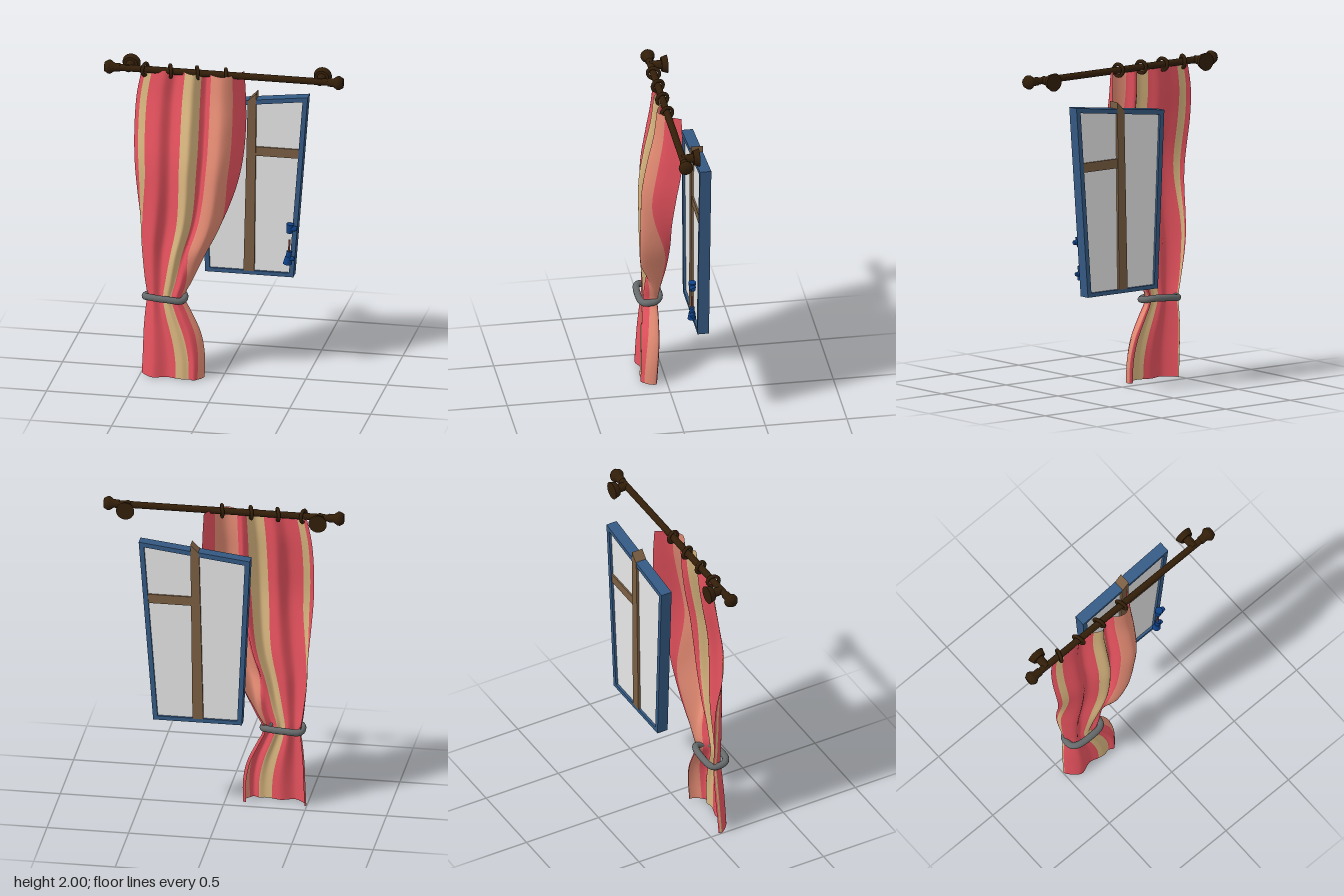
import * as THREE from 'three';

const mat = (name, color, side = THREE.FrontSide) => {
  const m = new THREE.MeshStandardMaterial({ color, side });
  m.name = name;
  return m;
};

export function createModel() {
  const root = new THREE.Group();
  root.name = 'curtainAndWindow';
  const wood = mat('darkWood', 0x321e09);
  const red = mat('redCloth', 0xe8535f, THREE.DoubleSide);
  const tan = mat('tanCloth', 0xdab780, THREE.DoubleSide);
  const salmon = mat('salmonCloth', 0xe58c74, THREE.DoubleSide);
  const grey = mat('greyTie', 0x666a6a);
  const blue = mat('frameBlue', 0x355a84);
  const brown = mat('mullionBrown', 0x7a5e43);
  const glass = mat('paleGlass', 0xe6e6e6);
  const latchBlue = mat('latchBlue', 0x0f4288);
  const pinRed = mat('pinRed', 0x8f4a42);

  const add = (name, geo, material, parent = root) => {
    const mesh = new THREE.Mesh(geo, material);
    mesh.name = name;
    parent.add(mesh);
    return mesh;
  };

  // Rod with a turned finial on each end
  const rod = new THREE.Group();
  rod.name = 'curtainRod';
  rod.position.set(0, 1.945, 0.022);
  root.add(rod);
  add('rod', new THREE.CylinderGeometry(0.021, 0.021, 1.32, 20).rotateZ(Math.PI / 2), wood, rod);
  const finial = [[0.02, 0.64], [0.026, 0.642], [0.026, 0.675], [0.043, 0.7], [0.043, 0.712], [0.03, 0.735], [0, 0.735]]
    .map(p => new THREE.Vector2(...p));
  for (const s of [-1, 1]) {
    const f = add('finial', new THREE.LatheGeometry(finial, 20), wood, rod);
    f.rotation.z = -s * Math.PI / 2;

    // Wall bracket: tapered disc and stem
    const bracket = new THREE.Group();
    bracket.name = 'wallBracket';
    bracket.position.set(s * 0.59, 0, 0);
    rod.add(bracket);
    const disc = add('bracketDisc', new THREE.CylinderGeometry(0.044, 0.056, 0.037, 24).rotateX(Math.PI / 2), wood, bracket);
    disc.position.z = -0.082;
    const stem = add('bracketStem', new THREE.CylinderGeometry(0.025, 0.028, 0.075, 20).rotateX(Math.PI / 2), wood, bracket);
    stem.position.z = -0.03;
  }

  // Hanging rings, slightly twisted on the rod
  for (const [x, twist] of [[-0.487, -0.3], [-0.33, 0.3], [-0.165, 0.3], [0.012, 0.25]]) {
    const ring = add('curtainRing', new THREE.TorusGeometry(0.036, 0.011, 10, 24), wood, rod);
    ring.position.x = x;
    ring.rotation.y = Math.PI / 2 + twist;
  }

  // Curtain outline by height: y, left, right, back, front
  const rows = [
    [0, -0.495, -0.11, 0.06, 0.155], [0.15, -0.49, -0.11, 0.05, 0.152], [0.28, -0.487, -0.135, 0.04, 0.148],
    [0.4, -0.478, -0.19, 0.036, 0.138], [0.5, -0.468, -0.234, 0.036, 0.126], [0.6, -0.483, -0.19, 0.03, 0.132],
    [0.8, -0.505, -0.1, 0.008, 0.157], [1.0, -0.515, 0, 0, 0.172], [1.2, -0.53, 0.07, 0, 0.175],
    [1.4, -0.545, 0.11, -0.02, 0.172], [1.6, -0.55, 0.122, -0.05, 0.14], [1.78, -0.54, 0.12, -0.055, 0.1],
    [1.95, -0.508, 0.112, -0.05, 0.08],
  ];
  // Fold lines at four heights, as fractions of the width (fx) and of the depth (fz)
  const profiles = [
    { y: 0, fx: [0.02, 0, 0, 0.2, 0.42, 0.57, 0.68, 0.78, 0.86, 0.92, 0.98, 1, 0.95],
      fz: [0, 0.08, 0.2, 0.95, 0.7, 0.85, 0.93, 0.85, 1, 0.8, 0.5, 0.1, 0] },
    { y: 0.5, fx: [0.02, 0, 0, 0.2, 0.36, 0.46, 0.58, 0.68, 0.82, 0.93, 0.99, 0.98, 0.92],
      fz: [0, 0.08, 0.2, 0.8, 0.6, 0.75, 0.88, 0.75, 0.95, 0.55, 0.2, 0.05, 0] },
    { y: 0.85, fx: [0, 0, 0.02, 0.2, 0.34, 0.48, 0.57, 0.65, 0.69, 0.74, 0.9, 1, 0.98],
      fz: [0.1, 0.18, 0.3, 0.7, 0.45, 0.7, 0.9, 0.6, 0.55, 0.82, 1, 0.1, 0] },
    { y: 1.35, fx: [0, 0.04, 0.105, 0.24, 0.34, 0.44, 0.53, 0.6, 0.65, 0.7, 0.81, 0.91, 1],
      fz: [0.42, 0.5, 0.58, 0.72, 0.5, 0.75, 0.93, 0.6, 0.45, 0.78, 1, 0.7, 0] },
  ];
  const clothMats = [red, tan, salmon];
  const stripes = [0, 1, 0, 0, 0, 1, 1, 0, 0, 2, 2, 0]; // colour between fold lines
  const outline = new THREE.CubicInterpolant(rows.map(r => r[0]), rows.flatMap(r => r.slice(1)), 4);
  const nRow = 64, sub = 6, nCol = stripes.length * sub;
  const pos = [], index = [];
  for (let j = 0; j <= nRow; j++) {
    const y = 1.95 * j / nRow;
    const [l, r, back, front] = outline.evaluate(y);
    const p = y < 0.5 ? 0 : y < 0.85 ? 1 : 2;
    const lo = profiles[p], hi = profiles[p + 1];
    const k = THREE.MathUtils.smoothstep(y, lo.y, hi.y);
    const curve = new THREE.CatmullRomCurve3(lo.fx.map((_, i) => new THREE.Vector3(
      THREE.MathUtils.lerp(l, r, THREE.MathUtils.lerp(lo.fx[i], hi.fx[i], k)), y,
      THREE.MathUtils.lerp(back, front, THREE.MathUtils.lerp(lo.fz[i], hi.fz[i], k)))));
    for (let i = 0; i <= nCol; i++) pos.push(...curve.getPoint(i / nCol).toArray());
  }
  const cloth = new THREE.BufferGeometry();
  for (let i = 0; i < nCol; i++) {
    cloth.addGroup(index.length, nRow * 6, stripes[Math.floor(i / sub)]);
    for (let j = 0; j < nRow; j++) {
      const a = j * (nCol + 1) + i, d = a + nCol + 1;
      index.push(a, a + 1, d + 1, a, d + 1, d);
    }
  }
  cloth.setAttribute('position', new THREE.Float32BufferAttribute(pos, 3));
  cloth.setIndex(index);
  cloth.computeVertexNormals();
  add('curtain', cloth, clothMats);

  // Tie-back hoop, a rounded oblong around the gathered cloth
  const hoop = [];
  const boxy = v => Math.sign(v) * Math.abs(v) ** 0.65;
  for (let i = 0; i < 20; i++) {
    const a = (i + 0.5) / 20 * Math.PI * 2;
    hoop.push(new THREE.Vector3(-0.352 + 0.12 * boxy(Math.cos(a)), 0.505 + 0.008 * Math.cos(2 * a + 2), 0.08 + 0.064 * boxy(Math.sin(a))));
  }
  add('tieBack', new THREE.TubeGeometry(new THREE.CatmullRomCurve3(hoop, true), 80, 0.021, 12, true), grey);

  // Crooked window: frame, pane, post and crossbar
  const win = new THREE.Group();
  win.name = 'window';
  root.add(win);
  const toPts = pts => pts.map(p => new THREE.Vector2(...p));
  const slab = (shape, z, depth) =>
    new THREE.ExtrudeGeometry(shape, { depth, bevelEnabled: false }).translate(0, 0, z);
  const inner = [[-0.112, 0.64], [0.376, 0.64], [0.46, 1.755], [-0.158, 1.678]];
  const frame = new THREE.Shape(toPts([[-0.14, 0.615], [0.403, 0.615], [0.492, 1.787], [-0.19, 1.705]]));
  frame.holes.push(new THREE.Path(toPts(inner)));
  add('windowFrame', slab(frame, -0.17, 0.07), blue, win);
  add('windowPane', slab(new THREE.Shape(toPts(inner)), -0.155, 0.04), glass, win);
  add('windowPost', slab(new THREE.Shape(toPts([[0.096, 0.638], [0.162, 0.638], [0.175, 1.79], [0.122, 1.738]])), -0.171, 0.072), brown, win);
  add('windowCrossbar', slab(new THREE.Shape(toPts([[0.155, 1.385], [0.436, 1.385], [0.441, 1.443], [0.155, 1.443]])), -0.165, 0.06), brown, win);

  // Latch: upper catch, lower knob and a thin pin
  const latch = new THREE.Group();
  latch.name = 'windowLatch';
  latch.position.set(0.385, 0, -0.07);
  root.add(latch);
  const part = (name, rt, rb, h, x, y, m, tilt = 0) => {
    const p = add(name, new THREE.CylinderGeometry(rt, rb, h, 12), m, latch);
    p.position.set(x, y, 0);
    p.rotation.z = tilt;
  };
  part('upperCatch', 0.024, 0.017, 0.058, 0.003, 0.943, latchBlue, -0.1);
  part('catchNub', 0.013, 0.02, 0.03, 0.032, 0.943, latchBlue, -Math.PI / 2);
  part('lowerKnob', 0.019, 0.026, 0.05, -0.01, 0.737, latchBlue, -0.15);
  part('knobNeck', 0.016, 0.016, 0.035, -0.003, 0.778, latchBlue, -0.15);
  part('knobNub', 0.012, 0.016, 0.03, 0.016, 0.747, latchBlue, -Math.PI / 2);
  part('latchPin', 0.006, 0.006, 0.09, -0.001, 0.825, pinRed, -0.06);
  return root;
}
